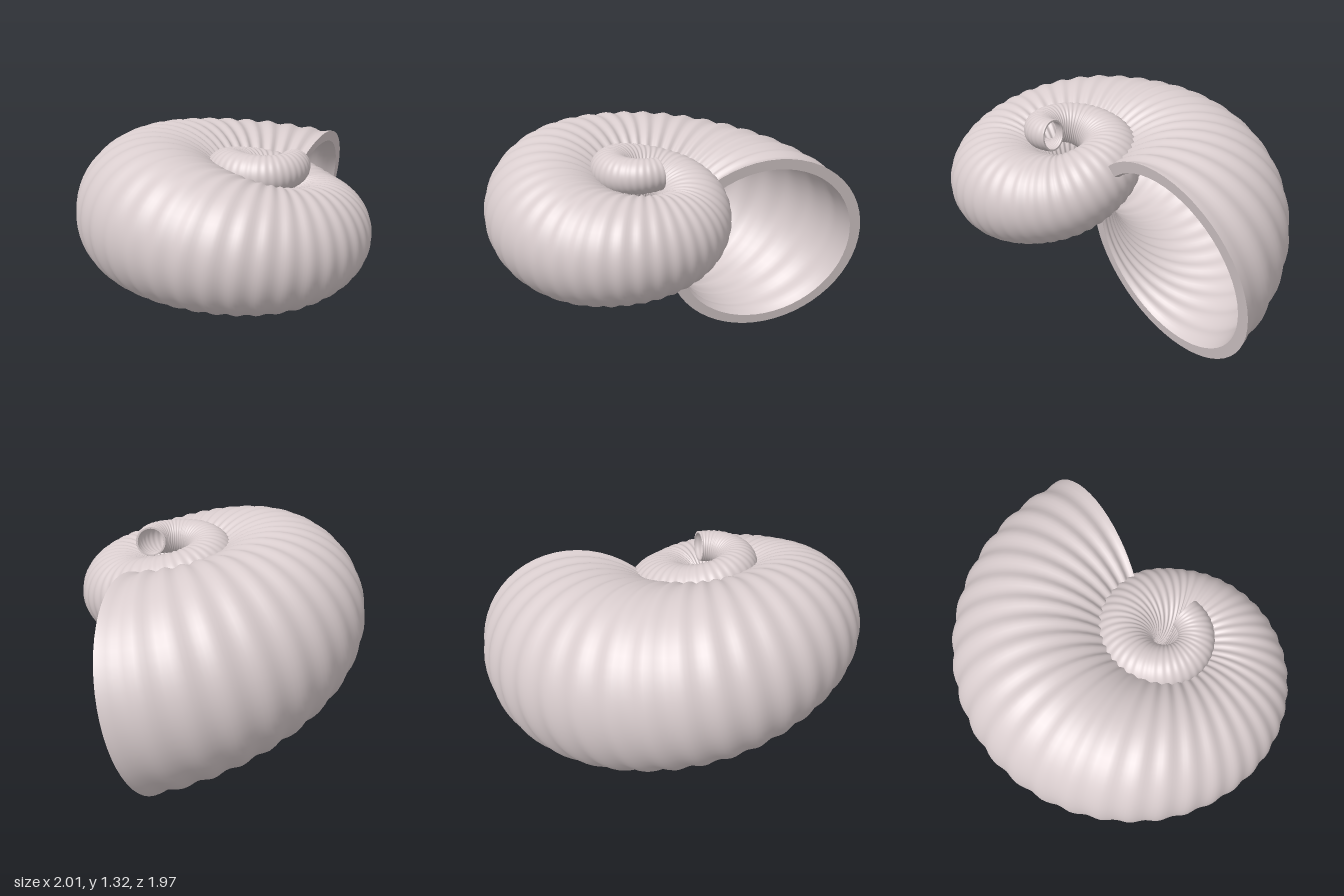
import * as THREE from 'three';

const RAD = Math.PI / 180;
const TURN = 641;          // degrees wound from apex to mouth
const STEPS = 500, SIDES = 56;
const RIB = 9;             // degrees per rib
const AXIS = { x: -0.01, z: 0.25 };

// Growth of the tube: angle wound -> distance from axis, height, tube radius
const times = [0, 65, 154, 239, 289, 335, 425, 514, 556, 599, 641];
const values = [
  0.155, 1.155, 0.088,
  0.175, 1.145, 0.1,
  0.195, 1.12, 0.125,
  0.23, 1.01, 0.175,
  0.255, 0.93, 0.205,
  0.285, 0.85, 0.235,
  0.43, 0.82, 0.31,
  0.585, 0.885, 0.415,
  0.65, 0.82, 0.48,
  0.705, 0.71, 0.535,
  0.755, 0.58, 0.593,
];
const growth = new THREE.CubicInterpolant(times, values, 3);
const grow = (t) => [...growth.evaluate(THREE.MathUtils.clamp(t, 0, TURN))];

// One cross-section ring, square to the descending path
function ring(t, scale) {
  const [d, y, r] = grow(t);
  const before = Math.max(t - 4, 0), after = Math.min(t + 4, TURN);
  const drop = grow(before)[1] - grow(after)[1];
  const tilt = Math.atan(drop / (d * (after - before) * RAD));
  const phi = (322 + 3 - t) * RAD;
  const a = phi - 5 * RAD * THREE.MathUtils.smoothstep(t, 480, TURN);
  const centre = new THREE.Vector3(AXIS.x + d * Math.cos(phi), y, AXIS.z - d * Math.sin(phi));
  const out = new THREE.Vector3(Math.cos(a), 0, -Math.sin(a));
  const up = new THREE.Vector3(Math.sin(a) * Math.sin(tilt), Math.cos(tilt), Math.cos(a) * Math.sin(tilt));
  const radius = r * scale * (1 + 0.014 * Math.cos((TURN - t) / RIB * Math.PI * 2));
  return Array.from({ length: SIDES }, (_, j) => {
    const v = j / SIDES * Math.PI * 2;
    return centre.clone()
      .addScaledVector(out, radius * Math.cos(v))
      .addScaledVector(up, radius * Math.sin(v));
  });
}

// Skin a list of rings; flip turns the faces inward
function loft(rings, flip = false) {
  const index = [];
  for (let i = 0; i < rings.length - 1; i++) {
    for (let j = 0; j < SIDES; j++) {
      const k = (j + 1) % SIDES;
      const a = i * SIDES + j, b = i * SIDES + k, c = b + SIDES, d = a + SIDES;
      index.push(...(flip ? [a, c, b, a, d, c] : [a, b, c, a, c, d]));
    }
  }
  const geometry = new THREE.BufferGeometry().setFromPoints(rings.flat());
  geometry.setIndex(index);
  geometry.computeVertexNormals();
  return geometry;
}

export function createModel() {
  const group = new THREE.Group();
  group.name = 'spiralShell';
  const shell = new THREE.MeshStandardMaterial({ color: 0xd8cccd });
  shell.name = 'pale pinkish shell';

  const add = (name, geometry) => {
    const mesh = new THREE.Mesh(geometry, shell);
    mesh.name = name;
    group.add(mesh);
  };
  const wall = (scale) => Array.from({ length: STEPS + 1 }, (_, i) => ring(i / STEPS * TURN, scale));
  const INNER = 0.89;

  // Ribbed outside and the hollow inside
  add('outerWall', loft(wall(1)));
  add('innerWall', loft(wall(INNER), true));

  // Flat rims joining the two walls
  add('mouthLip', loft([ring(TURN, 1), ring(TURN, INNER)]));
  add('apexRim', loft([ring(0, INNER), ring(0, 1)]));

  return group;
}
